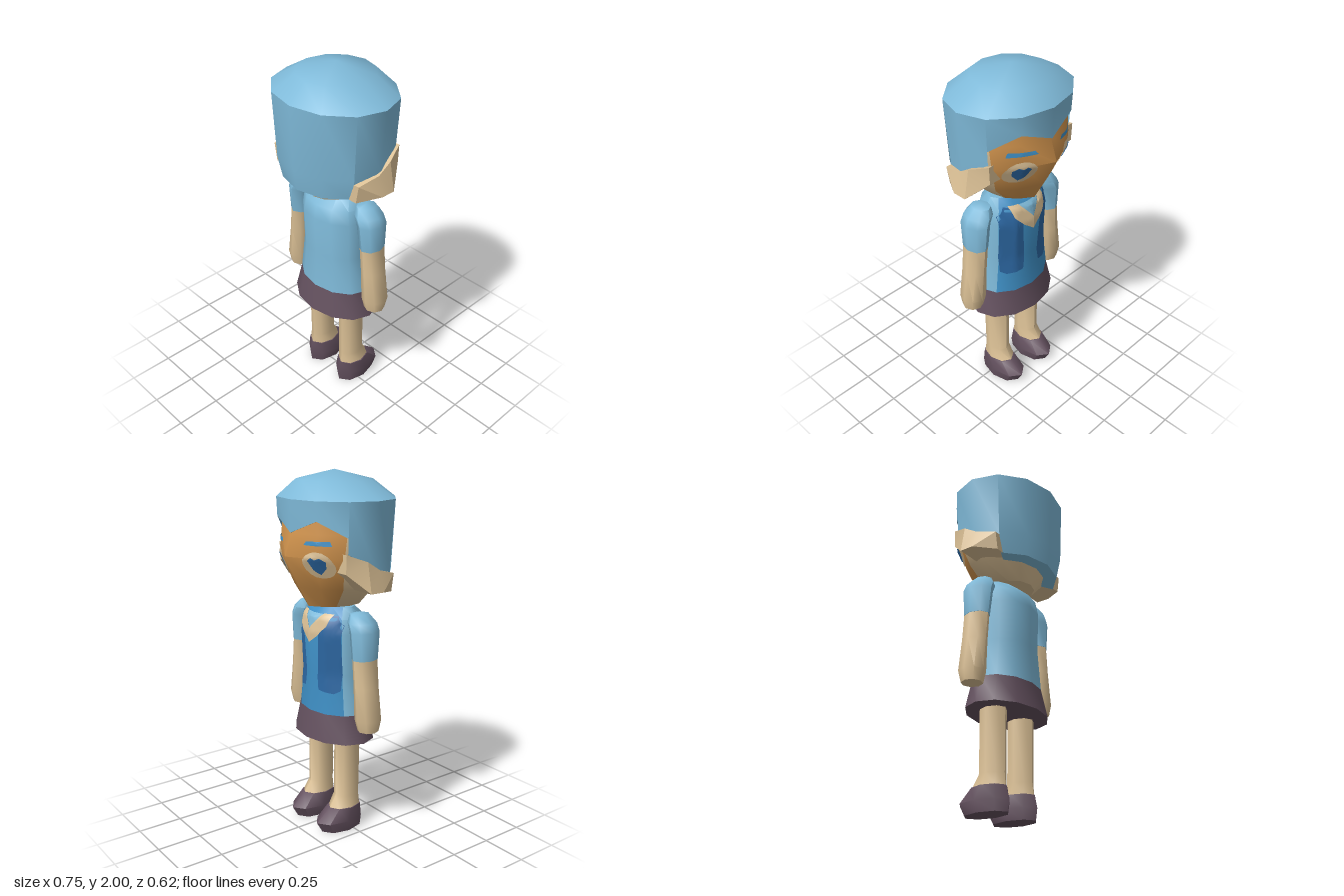
import * as THREE from 'three';
import { toCreasedNormals } from 'three/addons/utils/BufferGeometryUtils.js';

const V = (x, y, z) => new THREE.Vector3(x, y, z);
const mat = (name, color, side = THREE.FrontSide) => {
  const m = new THREE.MeshStandardMaterial({ color, side });
  m.name = name;
  return m;
};

// Geometry from triangle buckets, one bucket (and group) per material
function fromBuckets(buckets, crease) {
  const pts = [];
  const geo = new THREE.BufferGeometry();
  buckets.forEach((b, i) => {
    geo.addGroup(pts.length, b.length, i);
    pts.push(...b);
  });
  geo.setFromPoints(pts);
  geo.computeVertexNormals();
  return toCreasedNormals(geo, crease);
}

// Elliptic ring from the -z side round through +x; nose pulls the first point forward
function ring(y, x0, x1, z0, z1, n, nose = 0) {
  return Array.from({ length: n }, (_, k) => {
    const a = (k / n) * Math.PI * 2;
    return V((x0 + x1) / 2 + ((x1 - x0) / 2) * Math.sin(a), y,
      (z0 + z1) / 2 - ((z1 - z0) / 2) * Math.cos(a) - (k === 0 ? nose : 0));
  });
}

// Skin over rings from bottom to top, with caps; bucketOf(i, k) picks the colour
function loft(rings, { bucketOf = () => 0, crease = 0.9, topY = null } = {}) {
  const buckets = [[], []];
  const n = rings[0].length;
  const centre = (r) => r.reduce((s, p) => s.add(p), V(0, 0, 0)).divideScalar(n);
  const last = rings.length - 1;
  const c0 = centre(rings[0]);
  const c1 = centre(rings[last]);
  if (topY !== null) c1.y = topY;
  for (let k = 0; k < n; k++) {
    const j = (k + 1) % n;
    for (let i = 0; i < last; i++) {
      const [a, b, c, d] = [rings[i][k], rings[i][j], rings[i + 1][j], rings[i + 1][k]];
      buckets[bucketOf(i, k)].push(a, d, c, a, c, b);
    }
    buckets[0].push(c0, rings[0][k], rings[0][j], c1, rings[last][j], rings[last][k]);
  }
  return fromBuckets(buckets, crease);
}

// Thin painted plate: a convex outline laid on a target mesh, seen from -z
function decal(target, outline, offset) {
  const caster = new THREE.Raycaster();
  const project = (p) => {
    caster.set(V(p.x, p.y, -2), V(0, 0, 1));
    const hit = caster.intersectObject(target)[0];
    return V(p.x, p.y, (hit ? hit.point.z : 0) - offset);
  };
  const edge = [];
  outline.forEach(([x, y], i) => {
    const [nx, ny] = outline[(i + 1) % outline.length];
    const steps = Math.max(1, Math.ceil(Math.hypot(nx - x, ny - y) / 0.03));
    for (let s = 0; s < steps; s++) {
      edge.push(new THREE.Vector2(x + ((nx - x) * s) / steps, y + ((ny - y) * s) / steps));
    }
  });
  const mid = edge.reduce((s, p) => s.add(p), new THREE.Vector2()).divideScalar(edge.length);
  const levels = 6;
  const rings = Array.from({ length: levels + 1 }, (_, l) =>
    edge.map((p) => project(mid.clone().lerp(p, l / levels))));
  const tris = [];
  for (let l = 0; l < levels; l++) {
    edge.forEach((_, k) => {
      const j = (k + 1) % edge.length;
      tris.push(rings[l][k], rings[l + 1][k], rings[l + 1][j], rings[l][k], rings[l + 1][j], rings[l][j]);
    });
  }
  return fromBuckets([tris], 1);
}

// Hair shell with a stepped hairline: bottom heights at both ends of each half-side sector
function hairGeometry() {
  const edges = [[1.69, 1.76], [1.76, 1.68], [1.6, 1.51], [1.51, 1.48], [1.38, 1.38], [1.38, 1.38]];
  const point = (k, y, inset = 1) => {
    const low = y < 1.5;
    const t = low ? (1.5 - y) / 0.12 : (1.86 - y) / 0.36;
    const rx = (low ? 0.335 - 0.035 * t : 0.36 - 0.025 * t) * inset;
    const rz = (low ? 0.285 - 0.02 * t : 0.297 - 0.012 * t) * inset;
    const a = (k * Math.PI) / 6;
    return V(rx * Math.sin(a), y, 0.015 - rz * Math.cos(a));
  };
  const crown = ring(1.95, -0.21, 0.21, -0.2, 0.21, 12);
  const tip = V(0, 2, 0.005);
  const tris = [];
  const quad = (a, b, c, d) => tris.push(a, d, c, a, c, b);
  for (let k = 0; k < 12; k++) {
    const j = (k + 1) % 12;
    const [ya, yb] = k < 6 ? edges[k] : [...edges[11 - k]].reverse();
    let [topA, topB] = [point(k, 1.86), point(j, 1.86)];
    tris.push(tip, crown[j], crown[k]);
    quad(topA, topB, crown[j], crown[k]);
    if (ya < 1.45) {
      quad(point(k, 1.5), point(j, 1.5), topB, topA);
      [topA, topB] = [point(k, 1.5), point(j, 1.5)];
    }
    quad(point(k, ya), point(j, yb), topB, topA);
    quad(point(k, ya, 0.72), point(j, yb, 0.72), point(j, yb), point(k, ya));
  }
  return fromBuckets([tris], 0.7);
}

// Flared ear: four-cornered sections running along z
function earGeometry(s) {
  const sections = [[0.155, 1.48, 1.38, 0.318, 0.3], [0.04, 1.51, 1.4, 0.345, 0.375],
    [-0.04, 1.56, 1.4, 0.345, 0.375], [-0.145, 1.6, 1.5, 0.305, 0.3]];
  const rings = sections.map(([z, yt, yb, xt, xb]) =>
    [V(s * xt, yt, z), V(s * xb, yb, z), V(s * 0.2, yb, z), V(s * 0.2, yt, z)]);
  return loft(rings, { crease: 0.4 });
}

export function createModel() {
  const group = new THREE.Group();
  const skin = mat('skin', 0xdcc196);
  const skinOpen = mat('skin detail', 0xdcc196, THREE.DoubleSide);
  const face = mat('face orange', 0xd3954e);
  const hair = mat('light blue', 0x7fbad9, THREE.DoubleSide);
  const shirt = mat('shirt blue', 0x3f90c6, THREE.DoubleSide);
  const navy = mat('dark blue', 0x2c67a2, THREE.DoubleSide);
  const plum = mat('plum', 0x64515f);
  const add = (name, geo, material) => {
    const m = new THREE.Mesh(geo, material);
    m.name = name;
    group.add(m);
    return m;
  };
  const front = (k) => (k < 2 || k > 9 ? 1 : 0);

  // Head, face and hair
  const head = add('head', loft([
    ring(1.29, -0.13, 0.13, -0.14, 0.165, 12, 0.025),
    ring(1.4, -0.25, 0.25, -0.2, 0.21, 12, 0.025),
    ring(1.57, -0.325, 0.325, -0.27, 0.25, 12, 0.04),
    ring(1.69, -0.33, 0.33, -0.255, 0.26, 12, 0.012),
    ring(1.82, -0.32, 0.32, -0.25, 0.25, 12),
  ], { bucketOf: (i, k) => front(k), crease: 0.8 }), [skin, face]);
  add('hair', hairGeometry(), hair);

  // Torso with a coloured front, and skirt
  const torso = add('shirt', loft([
    ring(0.7, -0.235, 0.235, -0.162, 0.165, 12),
    ring(0.92, -0.205, 0.205, -0.15, 0.155, 12),
    ring(1.15, -0.21, 0.21, -0.16, 0.164, 12),
    ring(1.23, -0.195, 0.195, -0.143, 0.148, 12),
    ring(1.29, -0.16, 0.16, -0.08, 0.08, 12),
  ], { bucketOf: (i, k) => front(k), crease: 0.8 }), [hair, shirt]);
  add('skirt', loft([
    ring(0.545, -0.275, 0.275, -0.19, 0.195, 12),
    ring(0.7, -0.235, 0.235, -0.162, 0.165, 12),
  ]), plum);

  // Centre of the neckline
  group.updateMatrixWorld(true);
  add('neckline', decal(torso, [[-0.07, 1.25], [0.07, 1.25], [0, 1.16]], 0.003), hair);

  for (const s of [1, -1]) {
    const span = (y, xi, xo, z0, z1, n = 8) =>
      ring(y, Math.min(s * xi, s * xo), Math.max(s * xi, s * xo), z0, z1, n);
    const flip = (pts) => pts.map(([x, y]) => [s * x, y]);
    const oval = (cx, cy, rx, ry, n) => Array.from({ length: n }, (_, i) => {
      const a = (i / n) * Math.PI * 2;
      return [cx + rx * Math.cos(a), cy + ry * Math.sin(a)];
    });

    // Ear
    add('ear', earGeometry(s), skinOpen);

    // Eye and brow
    add('eyePatch', decal(head, flip(oval(0.16, 1.535, 0.075, 0.07, 16)), 0.004), skinOpen);
    add('pupil', decal(head, flip([[0.12, 1.56], [0.14, 1.575], [0.16, 1.565], [0.182, 1.575],
      [0.205, 1.555], [0.195, 1.52], [0.162, 1.485], [0.135, 1.51]]), 0.008), navy);
    add('brow', decal(head, flip([[0.085, 1.635], [0.1, 1.655], [0.22, 1.66], [0.23, 1.635]]), 0.005), shirt);

    // Vest panel and collar
    add('vestPanel', decal(torso, flip([[0.07, 1.24], [0.145, 1.25], [0.18, 1.2], [0.18, 0.84],
      [0.15, 0.82], [0.06, 0.83], [0.05, 0.9]]), 0.004), navy);
    add('collar', decal(torso, flip([[0, 1.17], [0.07, 1.255], [0.125, 1.255], [0.11, 1.19],
      [0.06, 1.135], [0, 1.09]]), 0.008), skinOpen);

    // Arm
    add('sleeve', loft([
      span(1.03, 0.215, 0.335, -0.075, 0.078),
      span(1.18, 0.2, 0.338, -0.085, 0.092),
      span(1.225, 0.175, 0.32, -0.08, 0.088),
      span(1.267, 0.18, 0.275, -0.055, 0.06),
    ], { topY: 1.28 }), hair);
    add('forearm', loft([
      span(0.635, 0.25, 0.365, -0.055, 0.06),
      span(0.7, 0.235, 0.377, -0.072, 0.075),
      span(0.88, 0.23, 0.348, -0.072, 0.075),
      span(1.035, 0.217, 0.333, -0.073, 0.076),
    ]), skin);

    // Leg and shoe
    add('leg', loft([
      span(0.13, 0.055, 0.195, -0.12, 0.083),
      span(0.2, 0.06, 0.183, -0.076, 0.075),
      span(0.58, 0.06, 0.187, -0.075, 0.08),
    ]), skin);
    add('shoe', loft([
      span(0, 0.045, 0.2, -0.17, 0.095),
      span(0.062, 0.033, 0.21, -0.205, 0.105),
      span(0.135, 0.05, 0.2, -0.122, 0.087),
    ]), plum);
  }
  return group;
}
